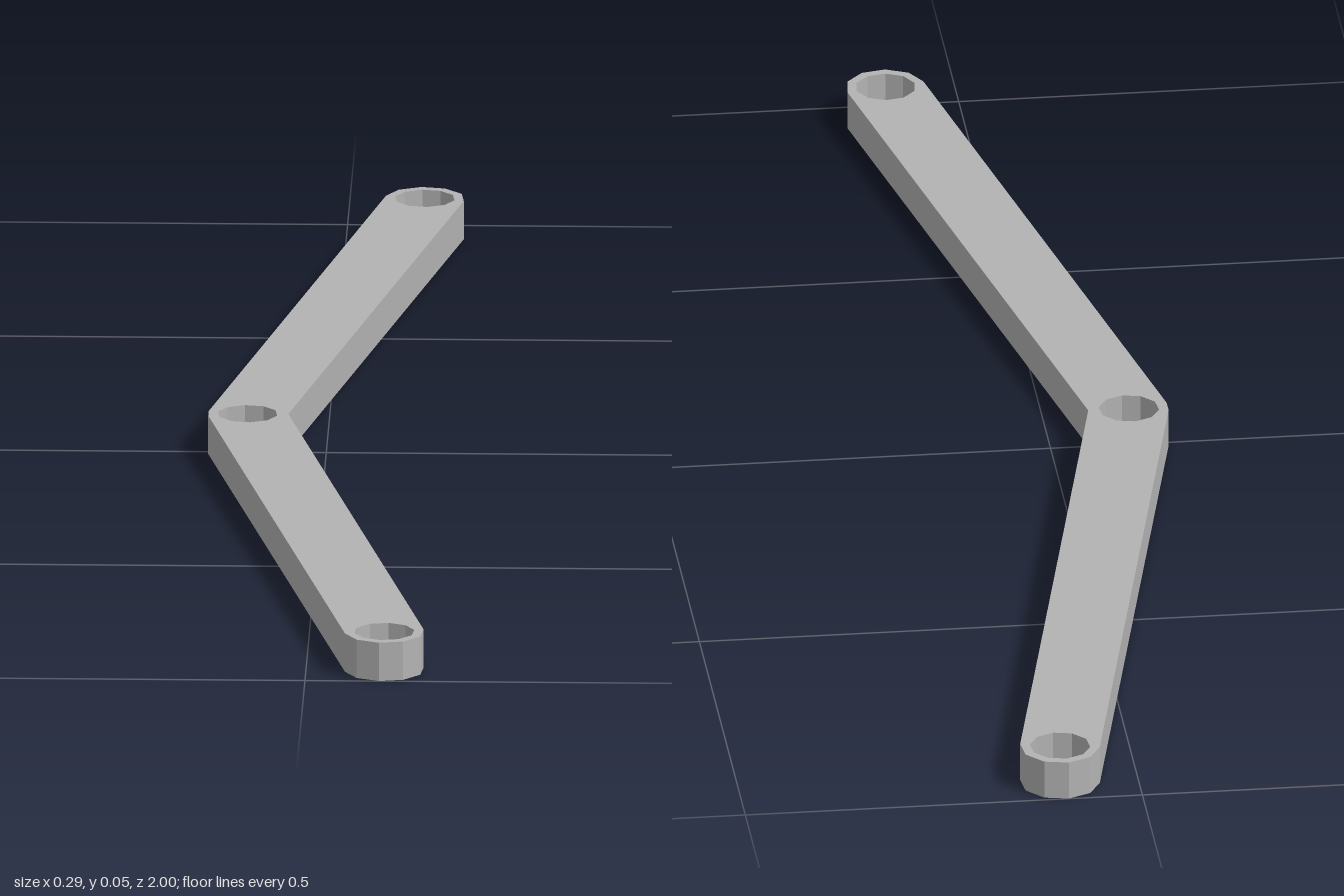
import * as THREE from 'three';

const PIVOT = [-0.0985, 0], TIP = [0.098, 0.95];
const RADIUS = 0.05, HOLE = 0.038, THICK = 0.05;

// Points on an arc, angles in radians, both ends included
function arc([cx, cy], r, from, to, steps) {
  return Array.from({ length: steps + 1 }, (_, i) => {
    const a = from + (to - from) * i / steps;
    return new THREE.Vector2(cx + r * Math.cos(a), cy + r * Math.sin(a));
  });
}

export function createModel() {
  const group = new THREE.Group();
  const grey = new THREE.MeshStandardMaterial({ color: 0xb3b3b3, flatShading: true });
  grey.name = 'plain grey';

  const dir = Math.atan2(TIP[1] - PIVOT[1], TIP[0] - PIVOT[0]);
  const half = Math.PI / 2;
  const lowTip = [TIP[0], -TIP[1]];

  // Bent outline: rounded tips, small bevel outside the bend, sharp inner corner
  const outline = [
    ...arc(TIP, RADIUS, dir - half, dir + half, 5),
    ...arc(PIVOT, RADIUS, dir + half, 3 * Math.PI / 2 - dir, 1),
    ...arc(lowTip, RADIUS, -dir - half, -dir + half, 5),
    new THREE.Vector2(PIVOT[0] + RADIUS / Math.sin(dir), 0),
  ];
  const shape = new THREE.Shape(outline);

  // Pin holes at the bend and both tips
  for (const [centre, turn] of [[TIP, dir - half], [PIVOT, dir - half], [lowTip, half - dir]]) {
    const ring = arc(centre, HOLE, turn, turn + 2 * Math.PI, 10).slice(0, -1);
    shape.holes.push(new THREE.Path(ring.reverse()));
  }

  const geometry = new THREE.ExtrudeGeometry(shape, { depth: THICK, bevelEnabled: false });
  geometry.rotateX(-half);
  const link = new THREE.Mesh(geometry, grey);
  link.name = 'bentLinkArm';
  group.add(link);
  return group;
}
